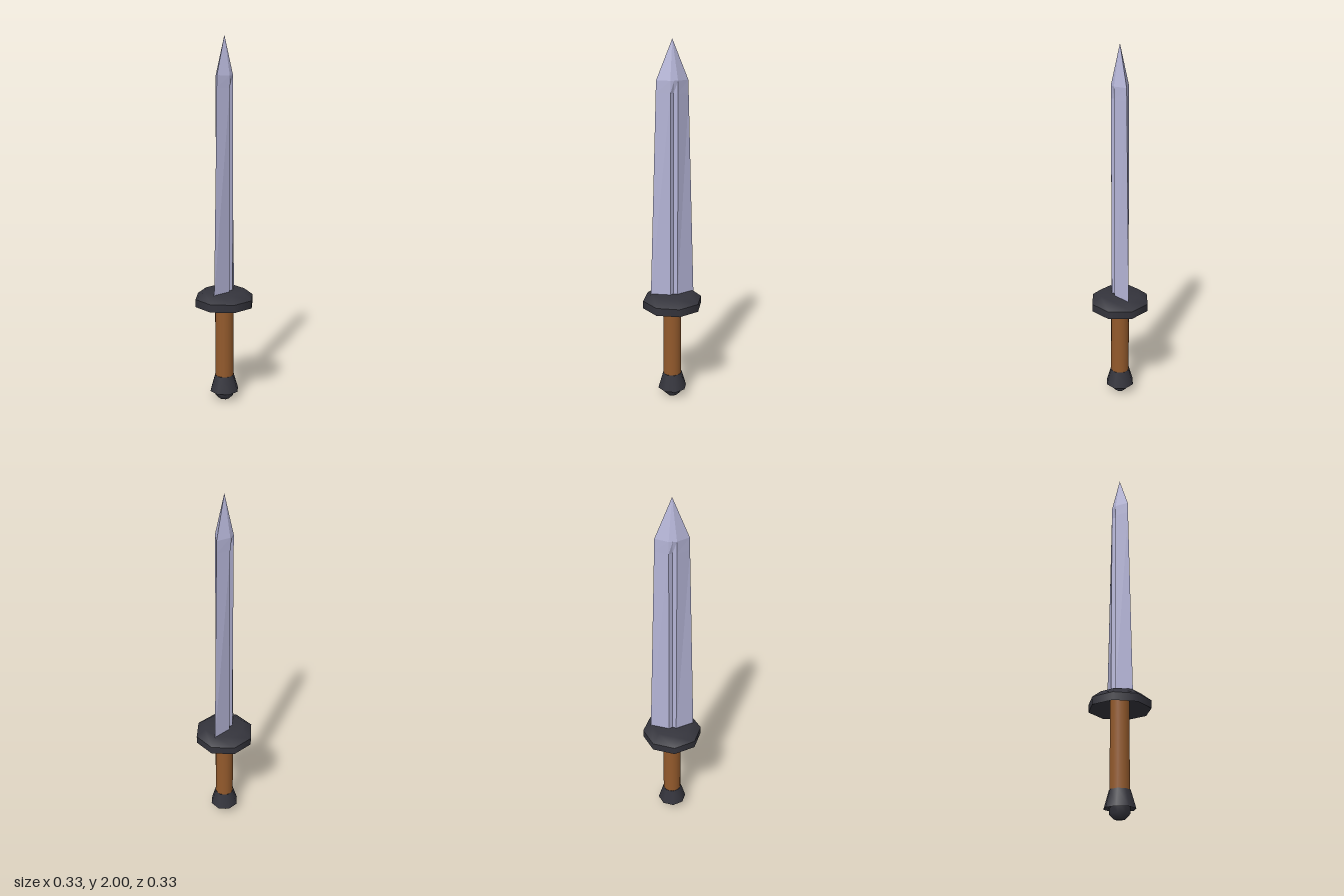
import * as THREE from 'three';

const steel = new THREE.MeshStandardMaterial({ color: 0xb4b4d6 });
steel.name = 'paleSteel';
const iron = new THREE.MeshStandardMaterial({ color: 0x34343c });
iron.name = 'darkIron';
const leather = new THREE.MeshStandardMaterial({ color: 0x935a2c });
leather.name = 'brownGrip';

// Turned part made of separately smoothed profile strips, so edges between strips stay sharp
function turned(name, material, sides, strips) {
  const group = new THREE.Group();
  group.name = name;
  strips.forEach((strip, i) => {
    const points = strip.map(([r, y]) => new THREE.Vector2(r, y));
    const mesh = new THREE.Mesh(new THREE.LatheGeometry(points, sides), material);
    mesh.name = `${name}Surface${i + 1}`;
    group.add(mesh);
  });
  return group;
}

// Blade cross-section: edge half-width, flat half-thickness and fuller half-thickness
function bladeRing(y, edge, thick, fuller, flat = 0.02) {
  const half = [[0, edge], [thick, flat], [fuller, 0], [thick, -flat]];
  return [...half, ...half.map(([x, z]) => [-x, -z])].map(([x, z]) => new THREE.Vector3(x, y, z));
}

function bladeGeometry() {
  const rings = [
    bladeRing(0.62, 0.122, 0.041, 0.028),
    bladeRing(1.73, 0.087, 0.041, 0.028),
    bladeRing(1.795, 0.085, 0.041, 0.041), // fuller closes below the point
    bladeRing(2, 0, 0, 0, 0),
  ];
  const positions = [];
  const tri = (...corners) => corners.forEach((p) => positions.push(p.x, p.y, p.z));
  for (let r = 0; r < rings.length - 1; r++) {
    const low = rings[r], high = rings[r + 1];
    for (let i = 0; i < low.length; i++) {
      const j = (i + 1) % low.length;
      tri(low[i], low[j], high[j]);
      if (r < rings.length - 2) tri(low[i], high[j], high[i]);
    }
  }
  const geometry = new THREE.BufferGeometry();
  geometry.setAttribute('position', new THREE.Float32BufferAttribute(positions, 3));
  geometry.computeVertexNormals();
  return geometry;
}

export function createModel() {
  const model = new THREE.Group();
  model.name = 'sword';

  const blade = new THREE.Mesh(bladeGeometry(), steel);
  blade.name = 'blade';
  model.add(blade);

  // Eight-sided guard with bevelled top and hollow underside
  model.add(turned('guard', iron, 8, [
    [[0.04, 0.615], [0.166, 0.555]],
    [[0.166, 0.555], [0.166, 0.598]],
    [[0.166, 0.598], [0.115, 0.637], [0, 0.637]],
  ]));

  // Round grip
  const grip = new THREE.Mesh(new THREE.CylinderGeometry(0.051, 0.051, 0.51, 16, 1, true), leather);
  grip.name = 'grip';
  grip.position.y = 0.375;
  model.add(grip);

  // Flared pommel collar and the knob under it
  model.add(turned('pommelCollar', iron, 8, [
    [[0.04, 0.075], [0.082, 0.053]],
    [[0.082, 0.053], [0.055, 0.145]],
    [[0.055, 0.145], [0, 0.145]],
  ]));
  model.add(turned('pommelKnob', iron, 8, [
    [[0, 0], [0.03, 0.004], [0.053, 0.028], [0.053, 0.08]],
  ]));

  return model;
}
